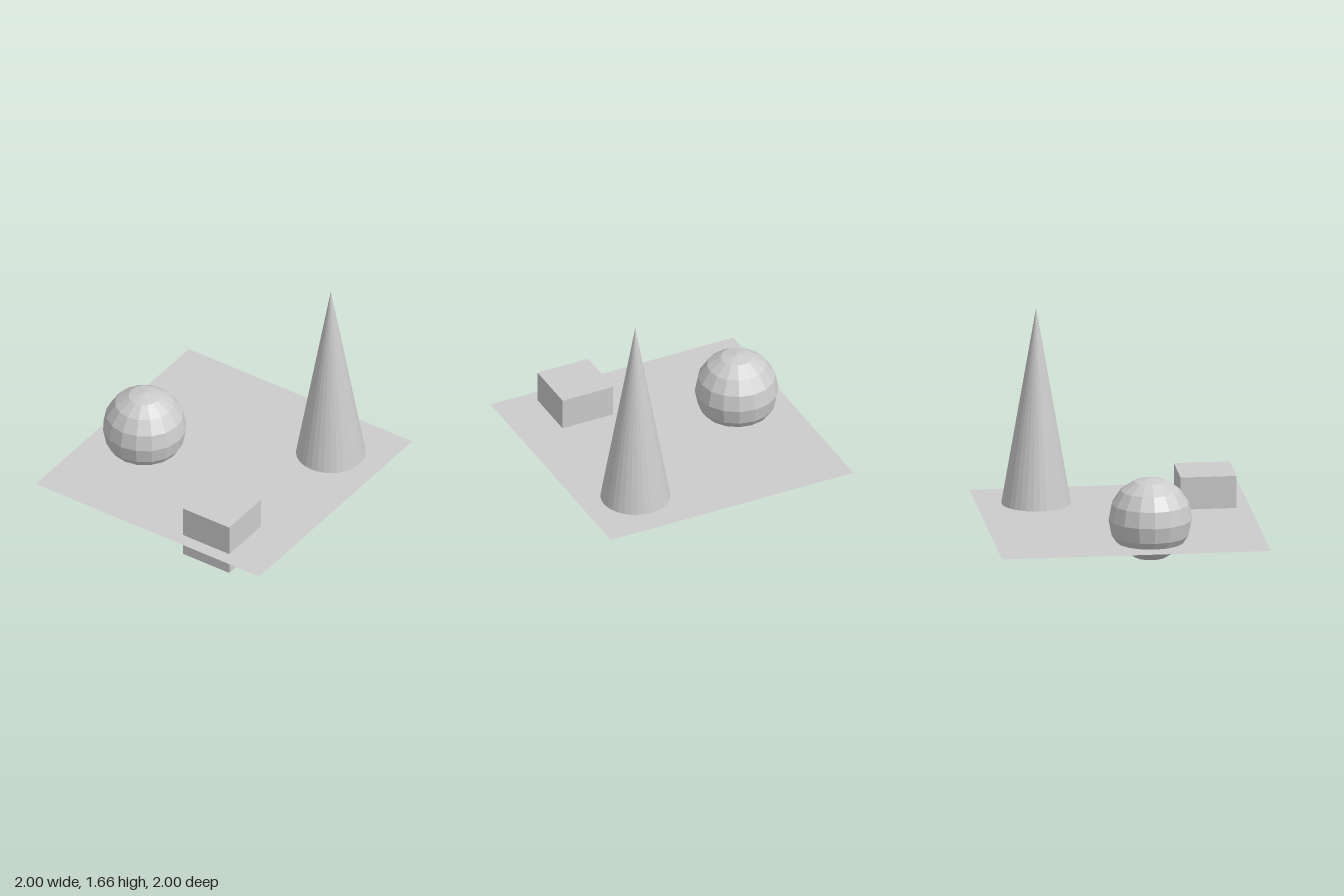
import * as THREE from 'three';

export function createModel() {
  const model = new THREE.Group();
  const grey = new THREE.MeshStandardMaterial({ color: 0xcccccc, flatShading: true });
  const sheet = new THREE.MeshStandardMaterial({ color: 0xcccccc, side: THREE.DoubleSide });

  const add = (name, geometry, material, x, y, z) => {
    const mesh = new THREE.Mesh(geometry, material);
    mesh.name = name;
    mesh.position.set(x, y, z);
    model.add(mesh);
  };

  // Thin ground sheet that cuts through the three solids
  add('groundSheet', new THREE.PlaneGeometry(2, 2).rotateX(-Math.PI / 2), sheet, 0, 0.175, 0);

  // Cube, sunk partly below the sheet
  add('cube', new THREE.BoxGeometry(0.417, 0.42, 0.417), grey, 0.455, 0.21, 0.69);

  // Faceted ball
  add('ball', new THREE.SphereGeometry(0.311, 16, 8), grey, -0.608, 0.347, 0.151);

  // Tall cone with closed base
  add('cone', new THREE.ConeGeometry(0.268, 1.55, 32), grey, 0.577, 0.89, -0.554);

  return model;
}
